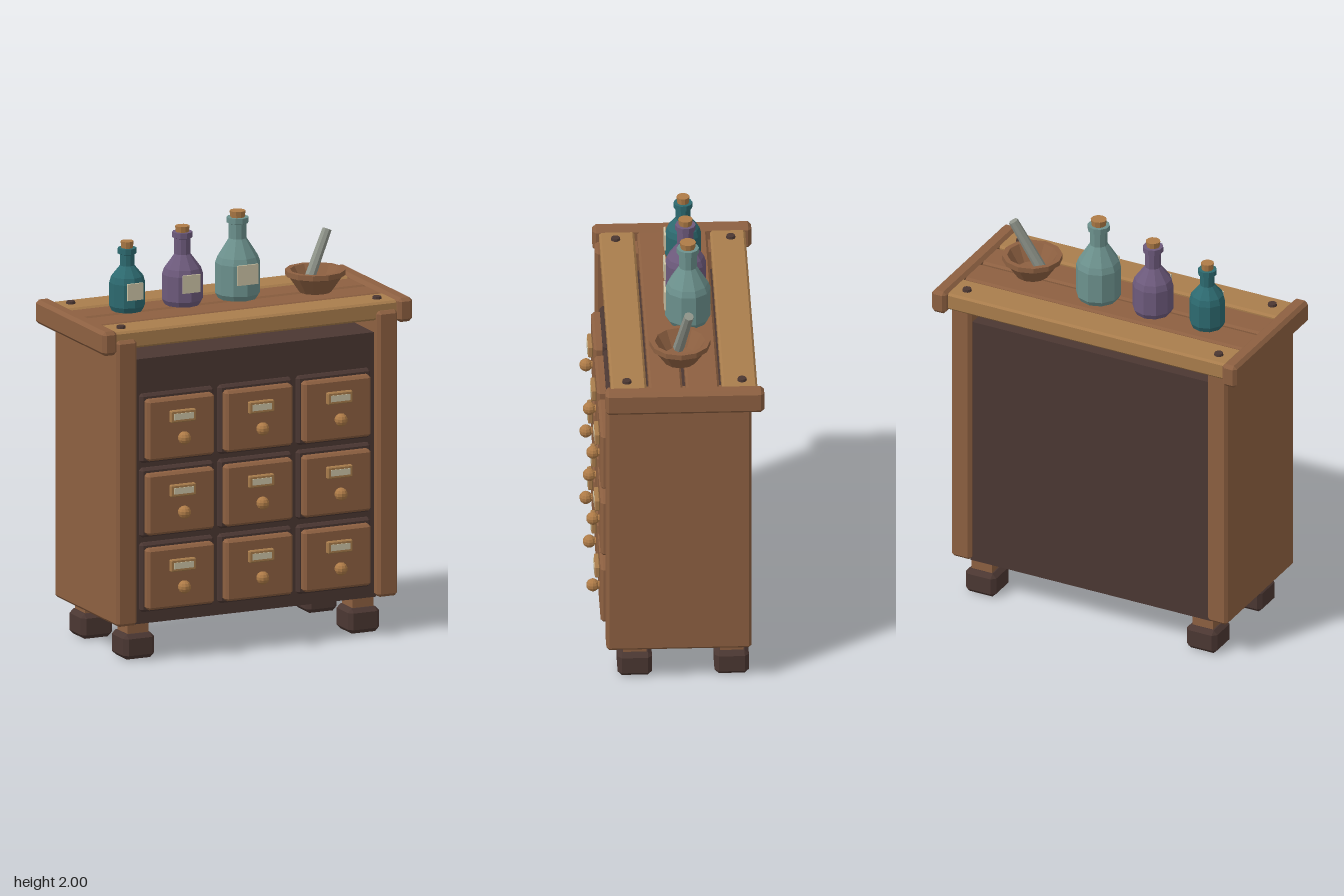
import * as THREE from 'three';
import { ConvexGeometry } from 'three/addons/geometries/ConvexGeometry.js';

export function createModel() {
  const root = new THREE.Group();
  root.name = 'drawerCabinet';
  const mat = (name, color) => {
    const m = new THREE.MeshStandardMaterial({ color });
    m.name = name;
    return m;
  };
  const wood = mat('brownWood', 0x8d6041);
  const oak = mat('lightWood', 0xa97d4c);
  const dark = mat('darkWood', 0x4b3732);
  const cork = mat('corkAndKnob', 0xae7b47);
  const cream = mat('paperLabel', 0xcdc4a6);
  const teal = mat('tealGlass', 0x2d6a70);
  const purple = mat('purpleGlass', 0x6d5a7c);
  const pale = mat('paleGlass', 0x6c918d);
  const stone = mat('stone', 0x8f948a);

  const add = (name, geo, material, x, y, z, parent = root) => {
    const m = new THREE.Mesh(geo, material);
    m.name = name;
    m.position.set(x, y, z);
    parent.add(m);
    return m;
  };
  // Faceted normals
  const facet = (geo) => {
    const g = geo.index ? geo.toNonIndexed() : geo;
    g.computeVertexNormals();
    return g;
  };
  // Box with chamfered edges
  const chamferBox = (w, h, d, b) => {
    const pts = [];
    for (const sx of [-1, 1]) for (const sy of [-1, 1]) for (const sz of [-1, 1]) {
      for (const [i, j, k] of [[b, b, 0], [b, 0, b], [0, b, b]]) {
        pts.push(new THREE.Vector3(sx * (w / 2 - i), sy * (h / 2 - j), sz * (d / 2 - k)));
      }
    }
    return new ConvexGeometry(pts);
  };
  const lathe = (profile, sides) =>
    facet(new THREE.LatheGeometry(profile.map(([r, y]) => new THREE.Vector2(r, y)), sides));

  // Carcass between the side panels
  add('carcass', new THREE.BoxGeometry(1.26, 1.265, 0.61), dark, 0, 0.8075, -0.025);

  for (const s of [-1, 1]) {
    add('sidePanel', chamferBox(0.105, 1.365, 0.675, 0.014), wood, s * 0.6725, 0.8625, -0.0125);
    add('topEndRail', chamferBox(0.075, 0.115, 0.738, 0.016), wood, s * 0.762, 1.541, -0.037);
    // Feet
    for (const z of [0.19, -0.26]) {
      add('footNeck', new THREE.BoxGeometry(0.108, 0.07, 0.108), wood, s * 0.58, 0.15, z);
      add('footBlock', chamferBox(0.16, 0.12, 0.16, 0.02), dark, s * 0.58, 0.063, z);
    }
    // Nails in the outer planks
    for (const z of [0.228, -0.307]) {
      add('nail', facet(new THREE.CylinderGeometry(0.02, 0.023, 0.016, 10)), dark, s * 0.66, 1.589, z);
    }
  }

  // Top planks
  [-0.295, -0.123, 0.048, 0.22].forEach((z, i) => {
    const outer = i === 0 || i === 3;
    add('topPlank', chamferBox(1.47, 0.085, outer ? 0.164 : 0.154, 0.01), outer ? oak : wood, 0, outer ? 1.5425 : 1.54, z);
  });

  // Three by three drawers
  const rimGeo = chamferBox(0.378, 0.33, 0.05, 0.012);
  const frontGeo = chamferBox(0.346, 0.292, 0.06, 0.012);
  const plateGeo = chamferBox(0.13, 0.058, 0.024, 0.005);
  const labelGeo = new THREE.BoxGeometry(0.1, 0.03, 0.006);
  const knobGeo = facet(new THREE.SphereGeometry(0.031, 10, 7));
  const stemGeo = facet(new THREE.CylinderGeometry(0.015, 0.02, 0.03, 8).rotateX(Math.PI / 2));
  for (const x of [-0.404, 0, 0.404]) for (const y of [0.398, 0.755, 1.11]) {
    const d = new THREE.Group();
    d.name = 'drawer';
    d.position.set(x, y, 0);
    root.add(d);
    add('drawerRim', rimGeo, dark, 0, 0, 0.28, d);
    add('drawerFront', frontGeo, wood, 0, -0.003, 0.316, d);
    add('labelPlate', plateGeo, oak, 0, 0.058, 0.357, d);
    add('labelCard', labelGeo, cream, 0, 0.058, 0.369, d);
    add('knobStem', stemGeo, cork, 0, -0.045, 0.353, d);
    add('knob', knobGeo, cork, 0, -0.045, 0.376, d);
  }

  // Bottles: radius, shoulder start, shoulder end, neck radius, lip height, total height
  const bottles = [
    ['tealBottle', teal, -0.48, 0.084, 0.155, 0.215, 0.034, 0.298, 0.33, [0.08, 0.08, 0.105]],
    ['purpleBottle', purple, -0.195, 0.096, 0.165, 0.24, 0.038, 0.345, 0.373, [0.09, 0.085, 0.115]],
    ['paleBottle', pale, 0.09, 0.106, 0.19, 0.285, 0.042, 0.385, 0.415, [0.108, 0.095, 0.13]],
  ];
  for (const [name, glass, x, r, s0, s1, n, lip, top, [lw, lh, ly]] of bottles) {
    const b = new THREE.Group();
    b.name = name;
    b.position.set(x, 1.585, -0.078);
    root.add(b);
    add('bottleGlass', lathe([[0, 0], [r * 0.86, 0], [r, 0.025], [r, s0 - 0.02], [r * 0.9, s0 + 0.01],
      [n, s1], [n, lip - 0.03], [n + 0.01, lip - 0.026], [n + 0.01, lip], [0, lip]], 10), glass, 0, 0, 0, b);
    add('cork', facet(new THREE.CylinderGeometry(n * 0.9, n * 0.78, top - lip + 0.01, 10)), cork, 0, (top + lip) / 2 - 0.005, 0, b);
    add('bottleLabel', new THREE.BoxGeometry(lw, lh, 0.009), cream, 0, ly, r + 0.001, b);
  }

  // Mortar bowl and pestle
  add('bowl', lathe([[0, 0], [0.076, 0], [0.128, 0.075], [0.141, 0.08], [0.141, 0.105],
    [0.117, 0.105], [0.07, 0.03], [0, 0.025]], 12), wood, 0.465, 1.585, -0.027);
  const from = new THREE.Vector3(0.425, 1.63, -0.022);
  const to = new THREE.Vector3(0.545, 1.865, -0.065);
  const dir = to.clone().sub(from);
  const pestle = add('pestle', facet(new THREE.CylinderGeometry(0.023, 0.027, dir.length(), 8)), stone,
    (from.x + to.x) / 2, (from.y + to.y) / 2, (from.z + to.z) / 2);
  pestle.quaternion.setFromUnitVectors(new THREE.Vector3(0, 1, 0), dir.normalize());

  return root;
}
